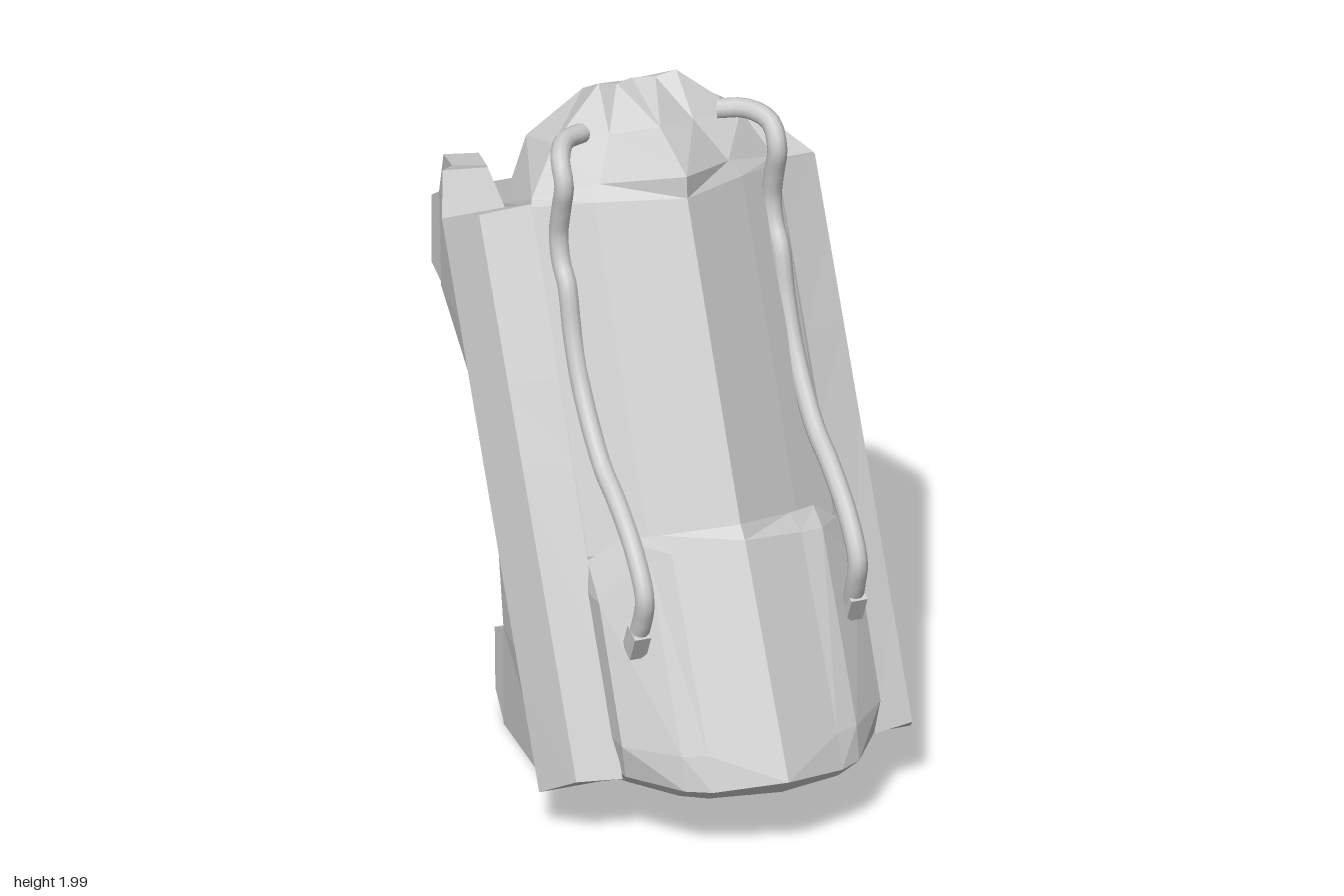
import * as THREE from 'three';

const flat = new THREE.MeshStandardMaterial({ color: 0xcccccc, flatShading: true, side: THREE.DoubleSide });
const smooth = new THREE.MeshStandardMaterial({ color: 0xcccccc });

const flip = ([x, y, z]) => [-x, y, z];
const lerp = (a, b, t) => a.map((v, i) => v + (b[i] - v) * t);

// Row of points from the centre line outward -> full symmetric row
const openRow = (half) => [...half.slice(1).reverse().map(flip), ...half];
// Half ring from front centre to back centre -> full closed ring
const ring = (half) => [...half, ...half.slice(1, -1).reverse().map(flip)];

// Skin rows of points (bottom to top) with quads; caps are lists of column indices
function skin(name, rows, { closed = false, caps = [], mirror = false } = {}) {
  const pos = [];
  const quad = (a, b, c, d) => {
    // split mirrored quads along mirrored diagonals
    const leftHalf = a[0] + b[0] + c[0] + d[0] < 0;
    const split = leftHalf ? [a, b, d, b, c, d] : [a, b, c, a, c, d];
    const tri = mirror ? split.map(flip).reverse() : split;
    tri.forEach((p) => pos.push(...p));
  };
  const n = rows[0].length;
  for (let r = 0; r < rows.length - 1; r++) {
    for (let c = 0; c < (closed ? n : n - 1); c++) {
      const d = (c + 1) % n;
      quad(rows[r][c], rows[r][d], rows[r + 1][d], rows[r + 1][c]);
    }
  }
  const top = rows[rows.length - 1];
  for (const [a, b, c, d] of caps) {
    quad(top[a], top[b], top[c], top[d]);
    quad(rows[0][d], rows[0][c], rows[0][b], rows[0][a]);
  }
  const geo = new THREE.BufferGeometry();
  geo.setAttribute('position', new THREE.Float32BufferAttribute(pos, 3));
  geo.computeVertexNormals();
  const mesh = new THREE.Mesh(geo, flat);
  mesh.name = name;
  return mesh;
}

// Side shell: straight leaning edges plus the bent rear edges
function shellRows() {
  const levels = [0, 0.2, 0.55, 0.7, 0.87, 1];
  const line = (a, b) => levels.map((t) => lerp(a, b, t));
  const columns = [
    line([0.39, 0.21, 0.6], [0.38, 1.72, -0.08]),
    line([0.52, 0.21, 0.57], [0.52, 1.69, -0.13]),
    line([0.575, 0.13, 0.43], [0.575, 1.63, -0.27]),
    line([0.503, 0.07, 0.29], [0.495, 1.69, -0.45]),
    // crease
    [[0.43, 0.01, 0.15], [0.43, 0.31, 0.01], [0.428, 0.92, -0.28], [0.42, 1.15, -0.4], [0.4, 1.42, -0.55], [0.38, 1.6, -0.65]],
    // rear edge, outer then inner
    [[0.38, 0.01, -0.28], [0.38, 0.31, -0.28], [0.35, 0.84, -0.44], [0.345, 1.15, -0.81], [0.345, 1.44, -0.825], [0.355, 1.58, -0.77]],
    [[0.2, 0.01, -0.28], [0.2, 0.31, -0.28], [0.19, 0.84, -0.43], [0.22, 1.15, -0.8], [0.23, 1.44, -0.825], [0.25, 1.57, -0.76]],
    // inner wall
    line([0.2, 0.01, 0.15], [0.28, 1.59, -0.63]),
    line([0.3, 0.07, 0.29], [0.36, 1.68, -0.44]),
    line([0.39, 0.13, 0.43], [0.38, 1.63, -0.27]),
  ];
  return levels.map((_, r) => columns.map((col) => col[r]));
}

// Crossbar: profile given as [z, y], swept along x
function crossbar(name, profile, halfWidth) {
  const shape = new THREE.Shape(profile.map(([z, y]) => new THREE.Vector2(-z, y)));
  const geo = new THREE.ExtrudeGeometry(shape, { depth: 2 * halfWidth, bevelEnabled: false });
  geo.translate(0, 0, -halfWidth);
  geo.rotateY(Math.PI / 2);
  const mesh = new THREE.Mesh(geo, flat);
  mesh.name = name;
  return mesh;
}

// Hose with an end clip; side is +1 (left) or -1 (right)
function hose(side) {
  const group = new THREE.Group();
  group.name = side > 0 ? 'leftHose' : 'rightHose';
  const path = [
    [0.21, 1.9, -0.11], [0.28, 1.905, -0.07], [0.325, 1.885, 0], [0.33, 1.82, 0.04], [0.33, 1.74, 0.02],
    [0.33, 1.65, 0], [0.33, 1.57, 0.02], [0.33, 1.52, 0.06], [0.33, 1.38, 0.1], [0.33, 1.23, 0.17],
    [0.33, 1.06, 0.31], [0.33, 0.99, 0.42], [0.33, 0.88, 0.55], [0.33, 0.77, 0.62], [0.33, 0.7, 0.605], [0.335, 0.62, 0.57],
  ].map(([x, y, z]) => new THREE.Vector3(side * x, y, z));
  const tube = new THREE.Mesh(new THREE.TubeGeometry(new THREE.CatmullRomCurve3(path), 60, 0.029, 10), smooth);
  tube.name = 'hoseTube';
  const clip = new THREE.Mesh(new THREE.BoxGeometry(0.05, 0.085, 0.06), flat);
  clip.position.set(side * 0.335, 0.62, 0.575);
  clip.rotation.x = 0.45;
  clip.name = 'hoseClip';
  group.add(tube, clip);
  return group;
}

export function createModel() {
  const model = new THREE.Group();
  model.name = 'backpackUnit';

  // Side shells
  const caps = [[0, 1, 2, 9], [9, 2, 3, 8], [8, 3, 4, 7], [7, 4, 5, 6]];
  model.add(skin('leftShell', shellRows(), { closed: true, caps }));
  model.add(skin('rightShell', shellRows(), { closed: true, caps, mirror: true }));

  // Ridged front panel, its edges tucked into the shells
  model.add(skin('frontPanel', [
    [[0, 0.85, 0.57], [0.23, 0.82, 0.43], [0.38, 0.79, 0.33], [0.43, 0.77, 0.27]],
    [[0, 1.77, 0.16], [0.23, 1.74, 0.02], [0.38, 1.71, -0.08], [0.43, 1.69, -0.14]],
  ].map(openRow)));

  // Raised lower plate with bevelled rim and underside
  model.add(skin('lowerPlate', [
    [[0, 0.07, 0.3], [0.18, 0.08, 0.32], [0.25, 0.1, 0.36], [0.33, 0.12, 0.4], [0.36, 0.13, 0.38]],
    [[0, 0.2, 0.84], [0.2, 0.19, 0.78], [0.27, 0.19, 0.73], [0.37, 0.19, 0.58], [0.38, 0.18, 0.42]],
    [[0, 0.25, 0.89], [0.2, 0.22, 0.81], [0.27, 0.22, 0.77], [0.385, 0.22, 0.61], [0.39, 0.22, 0.45]],
    [[0, 0.32, 0.855], [0.2, 0.32, 0.775], [0.27, 0.32, 0.75], [0.4, 0.32, 0.62], [0.4, 0.32, 0.4]],
    [[0, 0.875, 0.575], [0.2, 0.84, 0.515], [0.27, 0.835, 0.505], [0.4, 0.7, 0.455], [0.4, 0.7, 0.25]],
    [[0, 0.92, 0.535], [0.2, 0.865, 0.43], [0.3, 0.845, 0.37], [0.385, 0.78, 0.335], [0.385, 0.78, 0.25]],
  ].map(openRow)));

  // Faceted dome with a pointed front, its back reaching down between the shells
  model.add(skin('topDome', [
    [[0, 1.77, 0.16], [0.23, 1.74, 0.02], [0.38, 1.71, -0.08], [0.38, 1.52, -0.22], [0.2, 1.47, -0.32], [0, 1.44, -0.33]],
    [[0, 1.835, 0.155], [0.2, 1.78, -0.01], [0.375, 1.73, -0.09], [0.38, 1.64, -0.28], [0.2, 1.68, -0.405], [0, 1.68, -0.425]],
    [[0, 1.91, -0.035], [0.13, 1.885, -0.1], [0.29, 1.87, -0.13], [0.31, 1.84, -0.28], [0.19, 1.79, -0.4], [0, 1.78, -0.42]],
    [[0, 1.98, -0.24], [0.06, 1.985, -0.21], [0.12, 2, -0.2], [0.13, 1.95, -0.29], [0.1, 1.91, -0.36], [0, 1.9, -0.385]],
    Array(6).fill([0, 1.945, -0.3]),
  ].map(ring), { closed: true }));

  // Rear crossbars
  model.add(crossbar('upperCrossbar', [[-0.81, 1.15], [-0.89, 1.19], [-0.89, 1.4], [-0.825, 1.44]], 0.34));
  model.add(crossbar('lowerCrossbar', [[-0.27, 0.01], [-0.29, 0.01], [-0.35, 0.09], [-0.355, 0.28], [-0.28, 0.31]], 0.375));

  // Hoses
  model.add(hose(1), hose(-1));
  return model;
}
